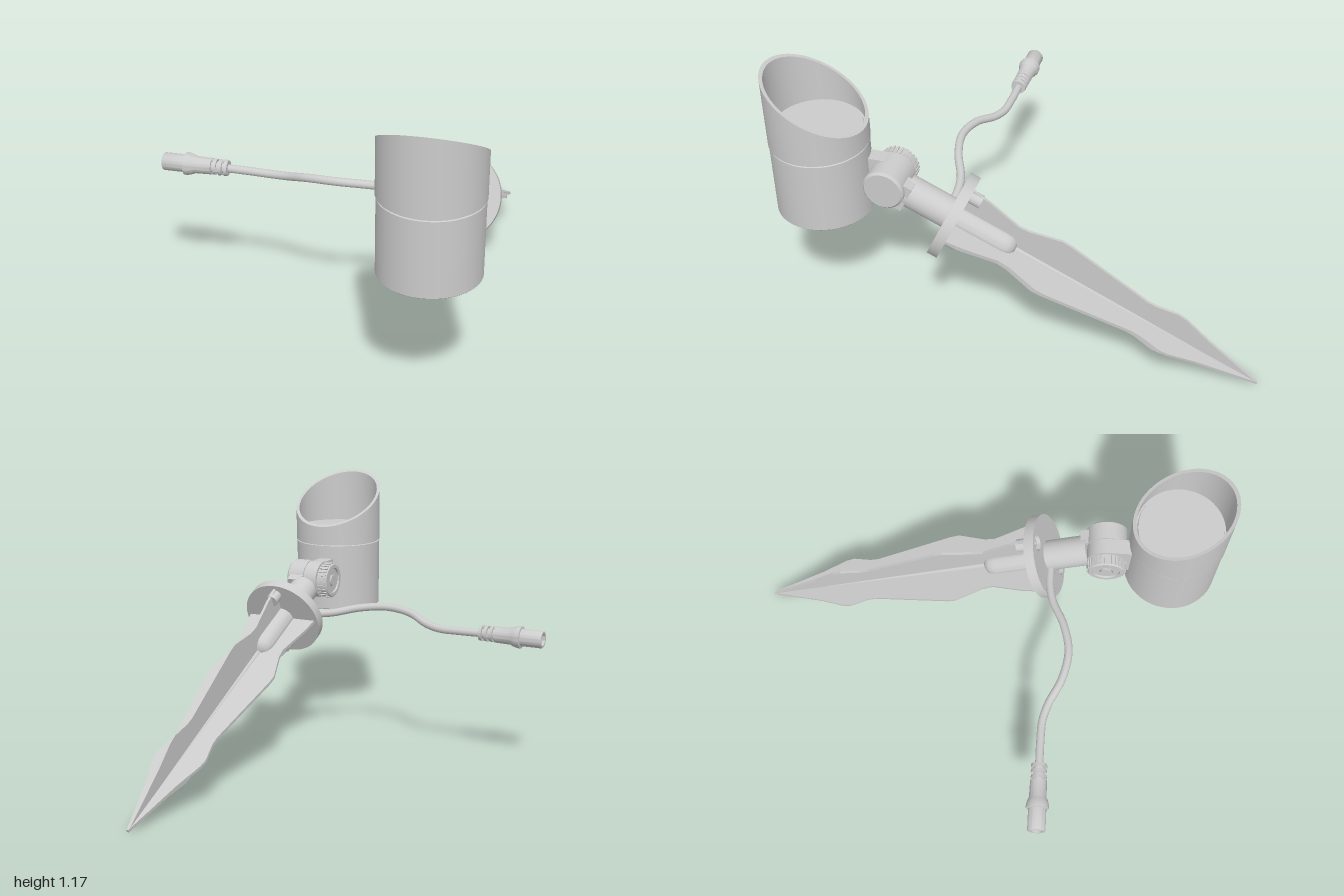
import * as THREE from 'three';
import { toCreasedNormals } from 'three/addons/utils/BufferGeometryUtils.js';

const grey = new THREE.MeshStandardMaterial({ color: 0xcccccc });

function add(parent, name, geometry, x = 0, y = 0, z = 0) {
  const mesh = new THREE.Mesh(geometry, grey);
  mesh.name = name;
  mesh.position.set(x, y, z);
  parent.add(mesh);
  return mesh;
}

const crease = (geometry) => toCreasedNormals(geometry, 0.6);
const latheRaw = (points, n) => new THREE.LatheGeometry(points.map(p => new THREE.Vector2(...p)), n);
const lathe = (points, n = 48) => crease(latheRaw(points, n));
const cylX = (r, w, n = 40) => new THREE.CylinderGeometry(r, r, w, n).rotateZ(Math.PI / 2);
const cylZ = (r, w, n = 32) => new THREE.CylinderGeometry(r, r, w, n).rotateX(Math.PI / 2);

function buildHead() {
  const head = new THREE.Group();
  head.name = 'lampHead';
  head.position.set(0.51, 0, 0.8);
  add(head, 'lampBody', lathe([[0, 0.55], [0.194, 0.55], [0.197, 0.553], [0.197, 0.855],
    [0.191, 0.857], [0.191, 0.863], [0, 0.863]], 64));
  // open cowl with a slanted top edge
  const cowl = latheRaw([[0.19, 0.863], [0.2, 0.863], [0.2, 2], [0.186, 2], [0.186, 0.9]], 64);
  const p = cowl.attributes.position;
  for (let i = 0; i < p.count; i++) {
    if (p.getY(i) > 1.5) p.setY(i, 1.058 + p.getZ(i) * 0.5625);
  }
  add(head, 'cowl', crease(cowl));
  add(head, 'lens', lathe([[0.188, 0.88], [0.188, 0.915], [0.178, 0.915], [0.176, 0.925], [0, 0.925]], 64));
  return head;
}

function buildHinge() {
  const hinge = new THREE.Group();
  hinge.name = 'hinge';
  hinge.position.set(0.51, 0.715, 0.515);
  add(hinge, 'headHingeDisc', cylX(0.083, 0.064), -0.034);
  add(hinge, 'headHingeNeck', new THREE.BoxGeometry(0.064, 0.16, 0.12), -0.034, 0, 0.06);
  add(hinge, 'stemHingeDisc', lathe([[0, 0], [0.085, 0], [0.085, 0.076], [0.076, 0.085], [0, 0.085]])
    .rotateZ(-Math.PI / 2));
  // knurled clamping knob
  add(hinge, 'knob', lathe([[0, 0], [0.078, 0], [0.078, 0.042], [0.073, 0.048], [0.058, 0.048],
    [0.056, 0.04], [0, 0.04]]).rotateZ(Math.PI / 2), -0.07);
  for (let i = 0; i < 28; i++) {
    const a = i / 28 * Math.PI * 2;
    const ridge = add(hinge, 'knobRidge', new THREE.BoxGeometry(0.04, 0.009, 0.009),
      -0.093, Math.cos(a) * 0.078, Math.sin(a) * 0.078);
    ridge.rotation.x = a;
  }
  add(hinge, 'knobBolt', cylX(0.028, 0.01, 6), -0.114);
  return hinge;
}

function buildFin() {
  const half = [[0.165, 0.01], [0.15, 0.1], [0.114, 0.24], [0.118, 0.29], [0.157, 0.42], [0.155, 0.46],
    [0.097, 0.83], [0.098, 0.87], [0.117, 0.96], [0.112, 1.0], [0.072, 1.12], [0.004, 1.385]];
  const outline = [...half, ...half.map(([w, d]) => [-w, d]).reverse()];
  const shape = new THREE.Shape(outline.map(([w, d]) => new THREE.Vector2(w, d)));
  return new THREE.ExtrudeGeometry(shape, { depth: 0.012, bevelEnabled: false })
    .translate(0, 0, -0.006).rotateX(-Math.PI / 2);
}

function buildSpike() {
  const spike = new THREE.Group();
  spike.name = 'groundSpike';
  spike.position.set(0.51, 0.59, 0.255);
  spike.rotation.x = -25 * Math.PI / 180;
  // mounting flange with two screw holes
  const disc = new THREE.Shape().absarc(0, 0, 0.18, 0, Math.PI * 2);
  for (const s of [-1, 1]) disc.holes.push(new THREE.Path().absarc(0, s * 0.13, 0.034, 0, Math.PI * 2));
  add(spike, 'flange', crease(new THREE.ExtrudeGeometry(disc,
    { depth: 0.044, bevelEnabled: false, curveSegments: 32 })), 0, 0, -0.022);
  for (const s of [-1, 1]) {
    add(spike, 'screwSeat', cylZ(0.035, 0.02), 0, s * 0.13, -0.012);
    add(spike, 'screwHead', lathe([[0, 0], [0.021, 0], [0.021, 0.012], [0.011, 0.012],
      [0.011, 0.004], [0, 0.004]], 24).rotateX(Math.PI / 2), 0, s * 0.13, -0.002);
    add(spike, 'screwNut', cylZ(0.027, 0.05, 24), 0, s * 0.13, -0.045);
  }
  // stem between flange and hinge
  add(spike, 'stem', cylZ(0.065, 0.195, 40), 0, 0, 0.115);
  add(spike, 'stemNeck', new THREE.BoxGeometry(0.062, 0.125, 0.1), 0.032, 0, 0.24);
  // crossed fins around a tapered core
  add(spike, 'horizontalFin', buildFin());
  add(spike, 'verticalFin', buildFin().rotateZ(Math.PI / 2));
  add(spike, 'core', new THREE.CylinderGeometry(0.022, 0.006, 1.36, 12).rotateX(Math.PI / 2), 0, 0, -0.69);
  add(spike, 'socket', lathe([[0.058, 0.02], [0.058, 0.22], [0.055, 0.245], [0.045, 0.265],
    [0.025, 0.277], [0, 0.28]]).rotateX(-Math.PI / 2));
  return spike;
}

function buildCable() {
  const cable = new THREE.Group();
  cable.name = 'cableAndPlug';
  const path = new THREE.CatmullRomCurve3([[0.47, 0.595, 0.285], [0.37, 0.605, 0.285], [0.29, 0.615, 0.3],
    [0.17, 0.64, 0.35], [0.05, 0.65, 0.373], [-0.07, 0.64, 0.35], [-0.17, 0.612, 0.3], [-0.24, 0.602, 0.279],
    [-0.33, 0.602, 0.274], [-0.45, 0.604, 0.274]].map(p => new THREE.Vector3(...p)));
  add(cable, 'cable', new THREE.TubeGeometry(path, 90, 0.017, 16));

  const plug = new THREE.Group();
  plug.name = 'plug';
  plug.position.set(0, 0.605, 0.274);
  plug.rotation.z = Math.PI / 2;
  cable.add(plug);
  // hollow connector shell
  add(plug, 'plugShell', lathe([[0, 0.5], [0.034, 0.5], [0.036, 0.57], [0.041, 0.58], [0.047, 0.602],
    [0.047, 0.615], [0.037, 0.617], [0.037, 0.705], [0.034, 0.71], [0.026, 0.71], [0.026, 0.66], [0, 0.66]], 40));
  for (const [x, z] of [[0.01, 0], [-0.01, 0]]) {
    add(plug, 'contactPin', new THREE.CylinderGeometry(0.004, 0.004, 0.04, 12), x, 0.68, z);
  }
  // slotted strain relief: rings joined by bridges
  add(plug, 'reliefCore', new THREE.CylinderGeometry(0.025, 0.022, 0.09, 24), 0, 0.475);
  for (const [i, y] of [0.437, 0.461, 0.485].entries()) {
    add(plug, 'reliefRing', new THREE.CylinderGeometry(0.034, 0.032, 0.014, 32), 0, y);
    for (const s of [-1, 1]) {
      const a = i % 2 * Math.PI / 2;
      add(plug, 'reliefBridge', new THREE.BoxGeometry(0.016, 0.014, 0.016),
        s * Math.cos(a) * 0.024, y + 0.012, s * Math.sin(a) * 0.024);
    }
  }
  return cable;
}

export function createModel() {
  const model = new THREE.Group();
  model.name = 'gardenSpotlight';
  model.add(buildHead(), buildHinge(), buildSpike(), buildCable());
  return model;
}
